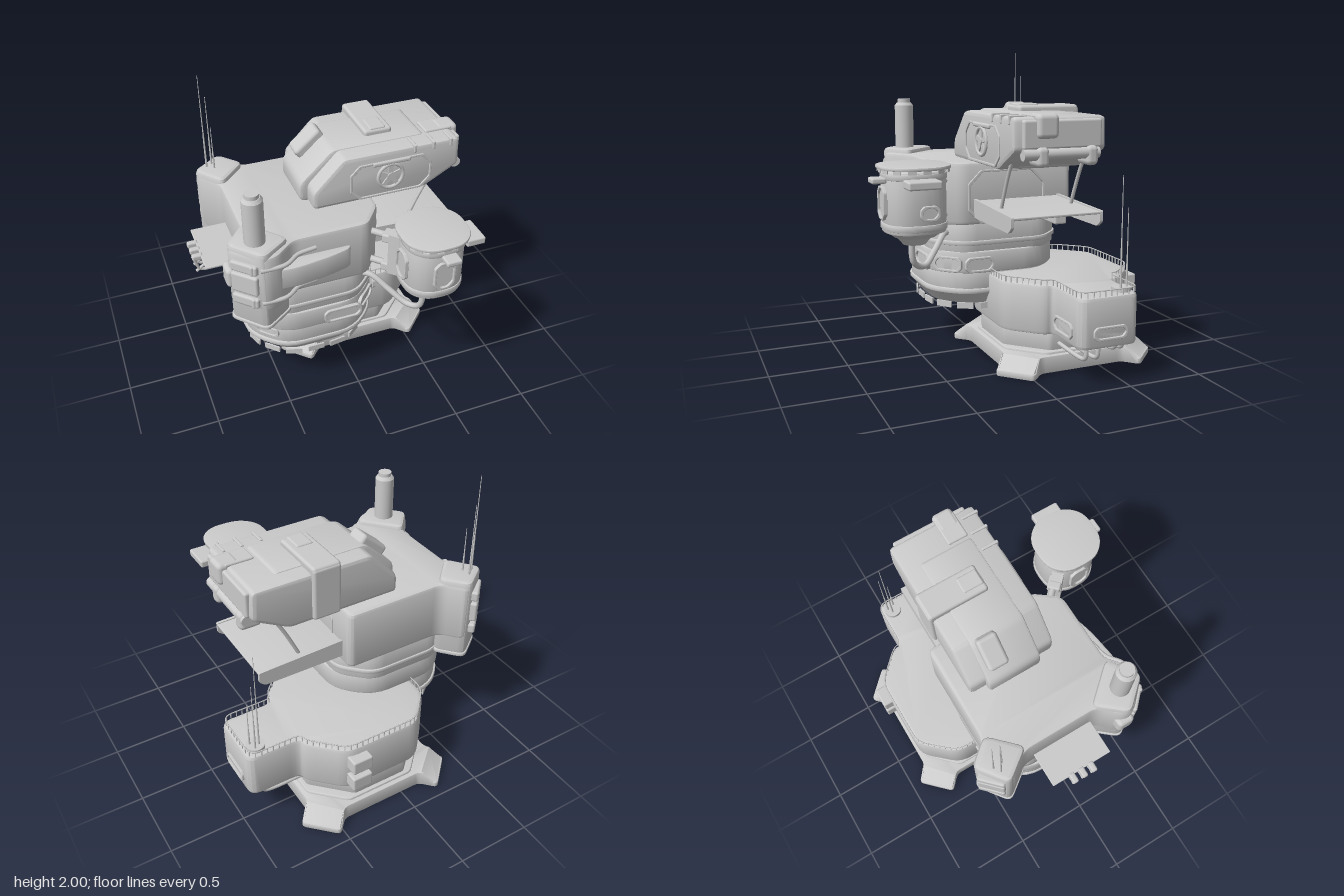
import * as THREE from 'three';
import { toCreasedNormals, mergeGeometries } from 'three/addons/utils/BufferGeometryUtils.js';
import { RoundedBoxGeometry } from 'three/addons/geometries/RoundedBoxGeometry.js';

const mat = new THREE.MeshStandardMaterial({ color: 0xcccccc });
const V = (x, y, z) => new THREE.Vector3(x, y, z);

// closed 2D outline with rounded corners
function outline(pts, r) {
  const s = new THREE.Shape(), n = pts.length;
  const P = pts.map(p => new THREE.Vector2(p[0], p[1]));
  P.forEach((p, i) => {
    const a = P[(i + n - 1) % n], b = P[(i + 1) % n];
    const ta = Math.min(r / p.distanceTo(a), 0.45), tb = Math.min(r / p.distanceTo(b), 0.45);
    const s0 = p.clone().lerp(a, ta), s1 = p.clone().lerp(b, tb);
    if (i) s.lineTo(s0.x, s0.y); else s.moveTo(s0.x, s0.y);
    s.quadraticCurveTo(p.x, p.y, s1.x, s1.y);
  });
  s.closePath();
  return s;
}
const slab = (shape, depth, bevel) => new THREE.ExtrudeGeometry(shape, {
  depth: depth - 2 * bevel, curveSegments: 4, bevelEnabled: bevel > 0,
  bevelSize: bevel, bevelThickness: bevel, bevelOffset: -bevel, bevelSegments: 2 }).translate(0, 0, bevel);
// upright block from an [x, z] plan; warp(vertex) may reshape it
function prismGeo(pts, y0, y1, r = 0.04, bevel = 0.01, warp) {
  const g = slab(outline(pts.map(([x, z]) => [x, -z]), r), y1 - y0, bevel).rotateX(-Math.PI / 2).translate(0, y0, 0);
  if (warp) {
    const a = g.attributes.position, v = V(0, 0, 0);
    for (let i = 0; i < a.count; i++) { v.fromBufferAttribute(a, i); warp(v); a.setXYZ(i, v.x, v.y, v.z); }
    g.computeVertexNormals();
  }
  return toCreasedNormals(g, 0.55);
}
// rectangle with cut corners
const octagon = (x0, x1, z0, z1, c) => [[x0, z0 + c], [x0 + c, z0], [x1 - c, z0], [x1, z0 + c],
  [x1, z1 - c], [x1 - c, z1], [x0 + c, z1], [x0, z1 - c]];
const inset = (x0, x1, z0, z1, c, d) => octagon(x0 + d, x1 - d, z0 + d, z1 - d, c);

export function createModel() {
  const root = new THREE.Group();
  const add = (name, geo, parent = root) => {
    const m = new THREE.Mesh(geo, mat); m.name = name; parent.add(m); return m;
  };
  const prism = (name, ...a) => add(name, prismGeo(...a));
  const box = (name, x0, x1, y0, y1, z0, z1, r = 0.012) => {
    const m = add(name, new RoundedBoxGeometry(x1 - x0, y1 - y0, z1 - z0, 2, r));
    m.position.set((x0 + x1) / 2, (y0 + y1) / 2, (z0 + z1) / 2); return m;
  };
  const pipe = (name, r, ...pts) => add(name, new THREE.TubeGeometry(
    new THREE.CatmullRomCurve3(pts.map(p => V(...p)), false, 'centripetal'), pts.length * 6, r, 8));
  const rod = (name, r, h, x, y, z, r2 = r, sides = 24) => {
    const m = add(name, new THREE.CylinderGeometry(r2, r, h, sides)); m.position.set(x, y + h / 2, z); return m;
  };
  // little plates standing along a plan outline
  const fence = (name, pts, r, y, h, step, w, t = 0.006) => {
    const s = outline(pts.map(p => [...p]), r), n = Math.round(s.getLength() / step), parts = [];
    for (let i = 0; i < n; i++) {
      const p = s.getPointAt(i / n), d = s.getTangentAt(i / n);
      parts.push(new THREE.BoxGeometry(w, h, t).rotateY(-Math.atan2(d.y, d.x)).translate(p.x, y + h / 2, p.y));
    }
    return add(name, mergeGeometries(parts));
  };
  // framed window facing +z, then turned about y
  const panel = (name, w, h, x, y, z, turn = 0, lip = 0.014) => {
    const g = new THREE.Group(), c = Math.min(w, h) * 0.25;
    const s = outline(octagon(-w / 2, w / 2, -h / 2, h / 2, c), 0.01);
    s.holes.push(outline(inset(-w / 2, w / 2, -h / 2, h / 2, c, lip), 0.01));
    add('frame', slab(s, 0.024, 0.003), g);
    add('pane', slab(outline(inset(-w / 2, w / 2, -h / 2, h / 2, c, lip / 2), 0.01), 0.01, 0), g);
    g.name = name; g.position.set(x, y, z); g.rotation.y = turn; root.add(g);
  };
  const antennas = (name, list) => list.forEach(([x, z, y0, y1]) => {
    rod(name, 0.007, (y1 - y0) * 0.4, x, y0, z, 0.005, 8);
    rod(name, 0.004, (y1 - y0) * 0.6, x, y0 + (y1 - y0) * 0.4, z, 0.002, 8);
  });

  // base plate with four sloping feet
  const cx = 0.15, cz = -0.375, foot = [[0.29, 0.47], [0.38, 0.565], [0.565, 0.38], [0.47, 0.29]];
  const basePts = [[1, 1], [1, -1], [-1, -1], [-1, 1]].flatMap(([sx, sz]) =>
    (sx * sz > 0 ? foot : [...foot].reverse()).map(([x, z]) => [cx + sx * x, cz + sz * z]));
  prism('basePlate', basePts, 0, 0.11, 0.03, 0.006, v => {
    const d = Math.abs(v.x - cx) + Math.abs(v.z - cz);
    if (v.y > 0.08 && d > 0.82) v.y -= 0.07;
  });
  prism('baseTop', octagon(-0.29, 0.59, -0.815, 0.065, 0.2), 0.08, 0.125, 0.03);
  prism('pedestal', octagon(-0.28, 0.56, -0.79, 0.05, 0.23), 0.11, 0.27, 0.02, 0.005);

  // lower drum with side wing
  const drum = [[-0.31, -0.61], [-0.11, -0.83], [0.41, -0.83], [0.61, -0.63], [0.61, -0.575], [0.965, -0.575],
    [0.965, -0.17], [0.61, -0.17], [0.61, -0.11], [0.41, 0.09], [-0.11, 0.09], [-0.31, -0.11]];
  prism('lowerDrum', drum, 0.245, 0.57, 0.07, 0.025);
  fence('railPosts', drum.map(([x, z]) => [cx + (x - cx) * 0.98, cz + (z - cz) * 0.98]), 0.07, 0.565, 0.04, 0.04, 0.006);
  const rail = outline(drum.map(([x, z]) => [cx + (x - cx) * 0.98, cz + (z - cz) * 0.98]), 0.07)
    .getSpacedPoints(140).slice(0, -1).map(p => V(p.x, 0.603, p.y));
  add('rail', new THREE.TubeGeometry(new THREE.CatmullRomCurve3(rail, true), 200, 0.004, 5, true));
  panel('wingFrontWindow', 0.24, 0.1, 0.75, 0.34, -0.18);
  panel('wingSideWindow', 0.23, 0.085, 0.955, 0.345, -0.37, Math.PI / 2);
  for (const y of [0.28, 0.42]) box('rearClamp', 0.27, 0.41, y, y + 0.1, -0.895, -0.76);
  for (const z of [-0.24, -0.32, -0.47, -0.52]) {
    const x = z < -0.4 ? 0.86 : 0.91, y = z < -0.4 ? 0.19 : 0.165;
    pipe('underPipe', 0.014, [0.5, y, z], [x - 0.05, y, z], [x - 0.01, y + 0.015, z], [x, y + 0.05, z], [x, 0.27, z]);
  }
  rod('antennaBase', 0.06, 0.03, 0.875, 0.565, -0.49);
  antennas('wingAntenna', [[0.855, -0.5, 0.59, 1.27], [0.89, -0.52, 0.59, 1.08], [0.905, -0.47, 0.59, 0.91]]);

  // hanging hull under the main body
  const hull = d => inset(-0.69, 0.195, -0.48, 0.445, 0.2, d), hx = -0.25, hz = -0.02;
  prism('hullUpper', hull(0), 0.575, 0.72, 0.12, 0.012);
  prism('hullLower', hull(0.01), 0.44, 0.585, 0.12, 0.008);
  prism('hullRim', hull(0), 0.435, 0.47, 0.12, 0.01);
  prism('hullBottom', hull(0.005), 0.36, 0.44, 0.12, 0, v => {
    if (v.y < 0.4) { v.x = hx + (v.x - hx) * 0.87; v.z = hz + (v.z - hz) * 0.87; }
  });
  fence('bottomPads', hull(0.04), 0.12, 0.325, 0.04, 0.15, 0.11, 0.012);
  rod('bottomVent', 0.08, 0.06, -0.43, 0.31, 0.18, 0.11);
  panel('hullFrontWindow', 0.26, 0.1, -0.1, 0.635, 0.438);
  panel('hullCornerWindow', 0.2, 0.1, 0.09, 0.635, 0.335, Math.PI / 4);
  panel('hullSideWindow', 0.2, 0.1, 0.188, 0.635, 0.16, Math.PI / 2);
  panel('hullLeftWindow', 0.17, 0.07, -0.575, 0.535, 0.32, -Math.PI / 4);
  prism('neck', inset(-0.67, 0.18, -0.48, 0.43, 0.18, 0), 0.71, 0.91, 0.08);
  prism('neckBand', inset(-0.67, 0.19, -0.49, 0.44, 0.18, 0), 0.76, 0.79, 0.08, 0.006);

  // main body with two diagonal buttresses
  prism('mainBody', [[-0.68, -0.31], [-0.8, -0.47], [-0.6, -0.64], [-0.48, -0.5], [0.2, -0.5], [0.2, 0.27],
    [0.07, 0.435], [-0.42, 0.435], [-0.55, 0.55], [-0.65, 0.56], [-0.81, 0.4], [-0.8, 0.33], [-0.68, 0.21]],
  0.9, 1.305, 0.05, 0.025);
  const arms = [[[-0.82, 0.37], [-0.64, 0.57], [-0.44, 0.43], [-0.66, 0.18]],
    [[-0.81, -0.49], [-0.61, -0.64], [-0.47, -0.48], [-0.66, -0.29]]];
  for (const pts of arms) {
    const grow = k => { const mx = -0.645, mz = (pts[0][1] + pts[2][1]) / 2; return pts.map(([x, z]) => [mx + (x - mx) * k, mz + (z - mz) * k]); };
    prism('buttress', pts, 0.77, 1.335, 0.05, 0.025);
    prism('buttressFoot', grow(1.05), 0.76, 0.785, 0.05, 0.006);
    const tx = (pts[0][0] + pts[1][0]) / 2, tz = (pts[0][1] + pts[1][1]) / 2;
    for (const y of [0.97, 1.1, 1.22]) {
      const h = y === 1.1 ? 0.14 : 0.07;
      const clip = add('buttressClip', new RoundedBoxGeometry(0.18, h, 0.06, 2, 0.015));
      clip.position.set(tx, y, tz); clip.rotation.y = Math.sign(tz) * -0.78;
    }
  }
  box('cornerClip', -0.835, -0.74, 1.03, 1.17, 0.3, 0.42, 0.03);
  prism('frontStrap', [[-0.62, 0.52], [-0.42, 0.53], [-0.2, 0.5], [-0.05, 0.46], [-0.05, 0.41], [-0.6, 0.41]], 1.02, 1.17, 0.05, 0.012);
  for (const y of [0.97, 1.22]) {
    box('strapBracket', -0.72, -0.54, y - 0.035, y + 0.035, 0.4, 0.54);
    pipe('strapBar', 0.014, [-0.66, y, 0.55], [-0.5, y, 0.54], [-0.4, y, 0.47], [-0.28, y, 0.445]);
  }
  panel('sideDoor', 0.54, 0.35, 0.185, 1.08, -0.03, Math.PI / 2);

  // chimney and tall antennas on the buttresses
  rod('chimney', 0.065, 0.33, -0.645, 1.3, 0.4);
  rod('chimneyCap', 0.065, 0.02, -0.645, 1.63, 0.4, 0.05);
  rod('chimneyTop', 0.045, 0.025, -0.645, 1.65, 0.4);
  antennas('tallAntenna', [[-0.715, -0.5, 1.32, 2], [-0.675, -0.53, 1.32, 1.83], [-0.67, -0.47, 1.32, 1.64]]);

  // left shelf with tube brackets
  box('leftShelf', -0.915, -0.66, 1.03, 1.045, -0.24, 0.19, 0.005);
  for (const z of [-0.1, -0.03, 0.04]) {
    box('shelfClip', -0.97, -0.9, 1.01, 1.05, z - 0.02, z + 0.02);
    pipe('shelfBracket', 0.01, [-0.96, 1.02, z], [-0.92, 0.93, z], [-0.82, 0.93, z], [-0.67, 0.96, z]);
    pipe('shelfBrace', 0.01, [-0.95, 0.92, z], [-0.84, 0.99, z], [-0.67, 1.0, z]);
  }

  // right platform: sloping underside, side walls and struts
  const side = (name, pts, z0, z1, r, bevel) =>
    add(name, toCreasedNormals(slab(outline(pts, r), z1 - z0, bevel).translate(0, 0, z0), 0.5));
  side('platform', [[0.18, 1.06], [0.78, 1.045], [0.78, 1.03], [0.18, 0.95]], -0.4, 0.19, 0.005, 0);
  for (const z of [-0.41, 0.18]) side('platformWall', [[0.18, 1.07], [0.78, 1.05], [0.78, 0.98], [0.74, 0.95], [0.18, 0.95]], z, z + 0.02, 0.01, 0);
  box('platformLatch', 0.55, 0.75, 0.98, 1.04, -0.18, -0.1);
  for (const z of [-0.35, 0.13]) pipe('platformStrut', 0.012, [0.66, 1.4, z], [0.57, 1.24, z], [0.48, 1.05, z]);

  // upper module
  side('moduleCore', [[-0.25, 1.3], [-0.25, 1.43], [-0.03, 1.635], [0.6, 1.635], [0.6, 1.3]], -0.3, 0.07, 0.04, 0.02);
  side('moduleShell', [[-0.2, 1.3], [-0.2, 1.42], [0.0, 1.625], [0.79, 1.625], [0.8, 1.43], [0.56, 1.3]], -0.41, 0.19, 0.03, 0.025);
  panel('modulePanel', 0.56, 0.25, 0.32, 1.44, 0.175);
  box('panelVisor', 0.19, 0.45, 1.535, 1.565, 0.15, 0.205);
  const fan = new THREE.Group(); fan.name = 'fan'; fan.position.set(0.315, 1.45, 0.195); root.add(fan);
  add('fanRim', new THREE.TorusGeometry(0.085, 0.012, 8, 32), fan);
  add('fanHub', new THREE.CylinderGeometry(0.025, 0.025, 0.025, 20).rotateX(Math.PI / 2), fan);
  for (let i = 0; i < 5; i++) add('fanBlade', new THREE.BoxGeometry(0.03, 0.065, 0.01).translate(0, 0.05, 0).rotateZ(i * Math.PI * 0.4), fan);
  box('topStrap', 0.22, 0.41, 1.6, 1.67, -0.43, -0.02, 0.02);
  box('rearStrap', 0.22, 0.41, 1.31, 1.66, -0.435, -0.39, 0.02);
  box('strapLatch', 0.26, 0.37, 1.64, 1.68, -0.17, -0.03);
  const hatch = box('slopeHatch', -0.22, 0, 1.54, 1.62, -0.27, -0.13, 0.025); hatch.rotation.z = 0.7;
  for (const x of [0.48, 0.61, 0.73]) box('topRib', x - 0.01, x + 0.01, 1.58, 1.635, 0.08, 0.197, 0.006);
  box('endBlock', 0.7, 0.845, 1.5, 1.645, -0.08, 0.06, 0.03);
  box('endStrap', 0.61, 0.8, 1.615, 1.64, -0.08, 0.06);
  box('endPlate', 0.74, 0.82, 1.44, 1.61, -0.37, 0.14, 0.015);
  const bar = rod('endBar', 0.035, 0.49, 0.805, 1.165, -0.105); bar.rotation.x = Math.PI / 2; bar.position.y = 1.41;
  for (const z of [-0.3, 0.02]) box('endClamp', 0.7, 0.845, 1.335, 1.455, z - 0.04, z + 0.04, 0.03);

  // front pod on two arms, with hose
  const px = 0.39, pz = 0.66, pod = h => octagon(px - h, px + h, pz - h, pz + h, h * 0.5);
  prism('podBody', pod(0.187), 0.94, 1.31, 0.08, 0.012);
  for (const y of [0.96, 1.26]) prism('podBand', pod(0.193), y, y + 0.04, 0.08, 0.006);
  prism('podCone', pod(0.18), 0.91, 0.95, 0.08, 0, v => { if (v.y < 0.93) { v.x = px + (v.x - px) * 0.7; v.z = pz + (v.z - pz) * 0.7; } });
  rod('podNozzle', 0.07, 0.06, px, 0.86, pz, 0.12);
  prism('podRoof', pod(0.215), 1.32, 1.34, 0.08, 0.005);
  fence('podRoofEdge', pod(0.205), 0.08, 1.3, 0.03, 0.09, 0.05);
  box('podTab', 0.57, 0.695, 1.225, 1.275, 0.58, 0.78);
  box('podFrontTab', 0.36, 0.46, 1.24, 1.275, 0.84, 0.93);
  panel('podDoor', 0.14, 0.2, px, 1.12, pz + 0.18);
  panel('podSideWindow', 0.12, 0.09, px + 0.18, 1.07, pz - 0.04, Math.PI / 2);
  panel('podLeftWindow', 0.14, 0.2, px - 0.18, 1.12, pz, -Math.PI / 2);
  for (const y of [0.97, 1.19]) {
    pipe('podArm', 0.022, [0.08, y, 0.33], [0.3, y, 0.56]);
    const knuckle = add('podArmJoint', new RoundedBoxGeometry(0.09, 0.06, 0.1, 2, 0.012));
    knuckle.position.set(0.21, y, 0.47); knuckle.rotation.y = Math.PI / 4;
  }
  const link = add('podLink', new THREE.BoxGeometry(0.08, 0.3, 0.16)); link.position.set(0.26, 1.08, 0.53); link.rotation.y = Math.PI / 4;
  pipe('hose', 0.02, [0.06, 0.84, 0.33], [0.12, 0.84, 0.38], [0.21, 0.76, 0.47], [0.3, 0.69, 0.57], [0.345, 0.73, 0.65], [0.36, 0.9, 0.67]);
  return root;
}
